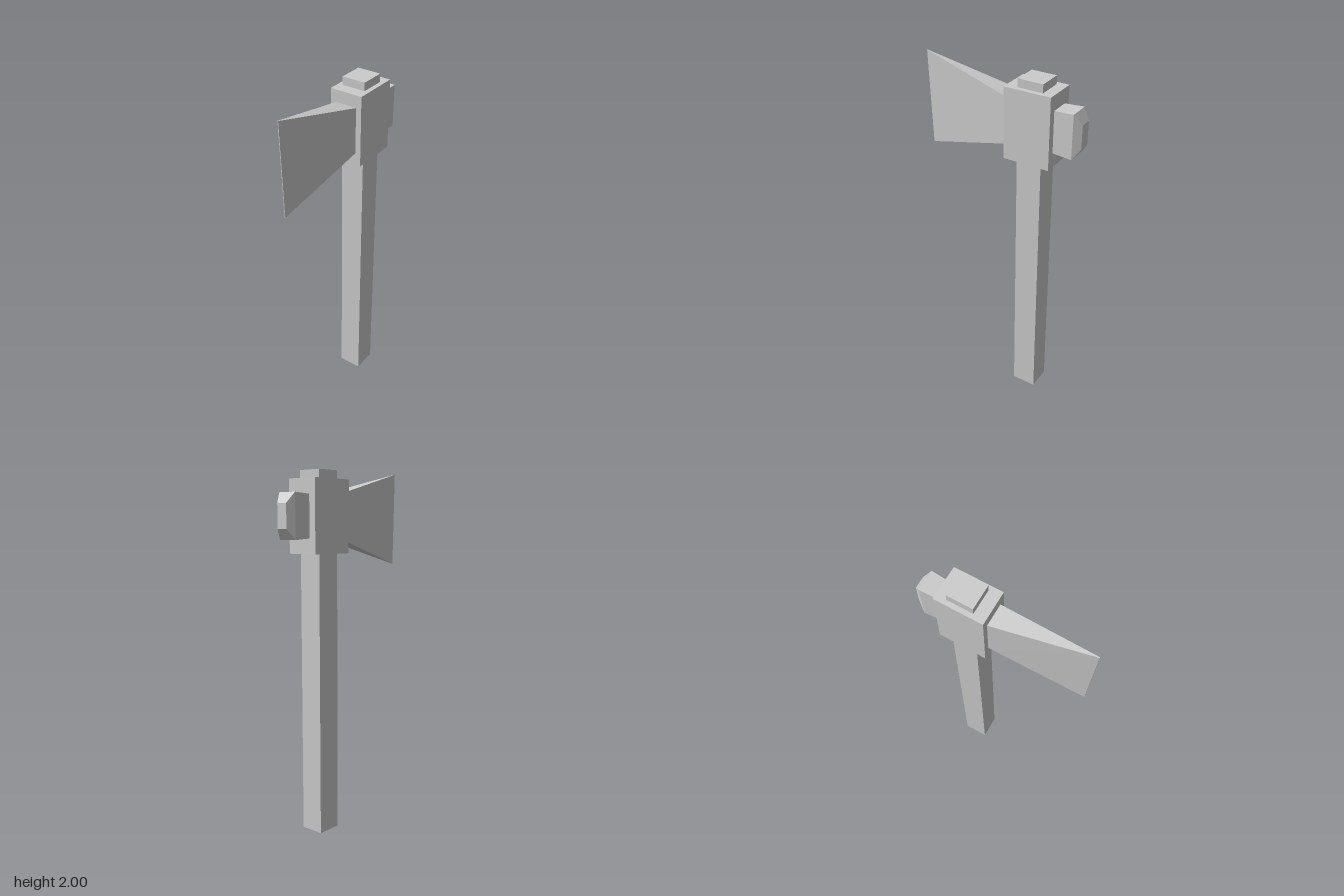
import * as THREE from 'three';

const material = new THREE.MeshStandardMaterial({ color: 0xcccccc, flatShading: true });

function addMesh(group, name, geometry) {
  const mesh = new THREE.Mesh(geometry, material);
  mesh.name = name;
  group.add(mesh);
  return mesh;
}

// Box given by its lower and upper corners
function addBox(group, name, lo, hi) {
  const mesh = addMesh(group, name, new THREE.BoxGeometry(...hi.map((h, i) => h - lo[i])));
  mesh.position.set(...hi.map((h, i) => (h + lo[i]) / 2));
}

// Flat-faced solid through four-cornered sections ordered along +x
function loft(sections) {
  const rings = sections.map(({ xTop, xBottom = xTop, top, bottom, half }) => [
    [xTop, top, half], [xTop, top, -half], [xBottom, bottom, -half], [xBottom, bottom, half],
  ]);
  const positions = [];
  const quad = (a, b, c, d) => positions.push(...a, ...b, ...c, ...a, ...c, ...d);
  for (let s = 0; s < rings.length - 1; s++) {
    const a = rings[s], b = rings[s + 1];
    for (let i = 0; i < 4; i++) {
      const j = (i + 1) % 4;
      quad(a[i], b[i], b[j], a[j]);
    }
  }
  const first = rings[0], last = rings[rings.length - 1];
  quad(first[0], first[1], first[2], first[3]);
  quad(last[0], last[3], last[2], last[1]);
  const geometry = new THREE.BufferGeometry();
  geometry.setAttribute('position', new THREE.Float32BufferAttribute(positions, 3));
  geometry.computeVertexNormals();
  return geometry;
}

export function createModel() {
  const axe = new THREE.Group();
  axe.name = 'axe';

  // Square handle, passing through the head and out of its top
  addBox(axe, 'handle', [0.123, 0, -0.068], [0.264, 1.99, 0.067]);

  // Block gripping the handle
  addBox(axe, 'headBlock', [0.058, 1.555, -0.094], [0.321, 1.945, 0.093]);

  // Flaring blade, thinning to its cutting edge
  addMesh(axe, 'blade', loft([
    { xTop: -0.468, xBottom: -0.455, top: 2, bottom: 1.475, half: 0.002 },
    { xTop: 0.06, top: 1.877, bottom: 1.623, half: 0.062 },
  ]));

  // Hammer poll with a bevelled face
  addMesh(axe, 'poll', loft([
    { xTop: 0.319, top: 1.863, bottom: 1.637, half: 0.053 },
    { xTop: 0.427, top: 1.87, bottom: 1.63, half: 0.057 },
    { xTop: 0.466, top: 1.815, bottom: 1.685, half: 0.032 },
  ]));

  return axe;
}
